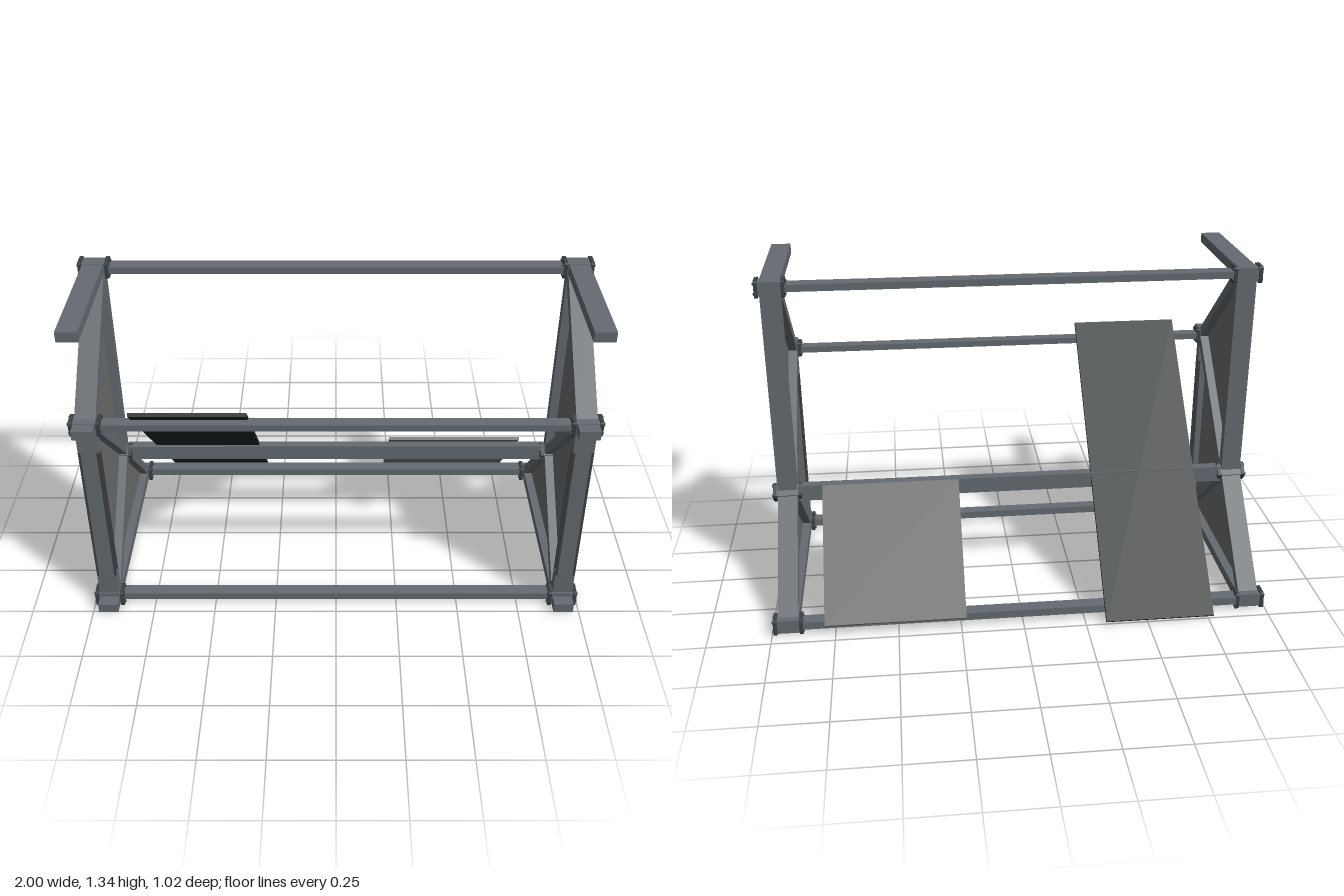
import * as THREE from 'three';

const mat = (color) => new THREE.MeshStandardMaterial({ color });
const steel = mat(0x646b70), dark = mat(0x3c4144), sheet = mat(0x6c6c6c), black = mat(0x1c2624);

// joints of the side frames as [z, y]
const J = {
  top: [-0.037, 1.31], knee: [0.433, 0.893], hub: [-0.037, 0.432],
  foot: [0.433, 0.038], heel: [-0.415, 0.038],
};
const SIDE_X = 0.935;

function add(parent, name, geometry, material, x = 0, y = 0, z = 0) {
  const m = new THREE.Mesh(geometry, material);
  m.name = name;
  m.position.set(x, y, z);
  parent.add(m);
  return m;
}

// box running between two [z, y] points
function beam(parent, name, a, b, x, width, thick, material) {
  const dz = b[0] - a[0], dy = b[1] - a[1];
  const m = add(parent, name, new THREE.BoxGeometry(width, thick, Math.hypot(dz, dy)), material,
    x, (a[1] + b[1]) / 2, (a[0] + b[0]) / 2);
  m.rotation.x = -Math.atan2(dy, dz);
  return m;
}

// thin triangular sheet, drawn in the z-y plane
function sidePanel(parent, name, points) {
  const s = new THREE.Shape(points.map(([z, y]) => new THREE.Vector2(-z, y)));
  const g = new THREE.ExtrudeGeometry(s, { depth: 0.01, bevelEnabled: false });
  g.translate(0, 0, -0.005);
  add(parent, name, g, sheet, SIDE_X).rotation.y = Math.PI / 2;
}

// joint: two rounded bolted plates around a block
function connector(parent, name, [z, y], angle, size = 0.07) {
  const c = new THREE.Group();
  c.name = name;
  c.position.set(SIDE_X, y, z);
  c.rotation.x = angle;
  const h = size / 2, r = 0.012;
  const s = new THREE.Shape();
  s.moveTo(-h + r, -h);
  s.lineTo(h - r, -h); s.quadraticCurveTo(h, -h, h, -h + r);
  s.lineTo(h, h - r); s.quadraticCurveTo(h, h, h - r, h);
  s.lineTo(-h + r, h); s.quadraticCurveTo(-h, h, -h, h - r);
  s.lineTo(-h, -h + r); s.quadraticCurveTo(-h, -h, -h + r, -h);
  const plate = new THREE.ExtrudeGeometry(s, { depth: 0.014, bevelEnabled: false, curveSegments: 4 });
  plate.translate(0, 0, -0.007).rotateY(Math.PI / 2);
  const bolt = new THREE.CylinderGeometry(0.006, 0.006, 0.005, 8).rotateZ(Math.PI / 2);
  for (const d of [-1, 1]) {
    add(c, 'jointPlate', plate, dark, d * 0.051);
    for (const u of [-1, 1]) for (const v of [-1, 1])
      add(c, 'bolt', bolt, dark, d * 0.06, u * 0.021, v * 0.021);
  }
  add(c, 'jointBlock', new THREE.BoxGeometry(0.1, size * 0.8, size * 0.8), steel);
  parent.add(c);
}

function sideFrame() {
  const g = new THREE.Group();
  g.name = 'sideFrame';
  const W = 0.08, T = 0.037;
  const bar = (name, a, b, t = T) => beam(g, name, a, b, SIDE_X, W, t, steel);
  bar('rearPost', J.hub, J.top, 0.038);
  bar('upperBrace', J.top, J.knee);
  bar('middleBrace', J.knee, J.hub);
  bar('lowerBrace', J.hub, J.foot);
  bar('rearBrace', J.hub, J.heel);
  bar('topArm', [-0.037, 1.317], [0.51, 1.317], 0.04);
  bar('bottomRail', [-0.43, 0.03], [0.51, 0.03], 0.04);
  bar('kneeStub', [0.42, 0.897], [0.51, 0.897], 0.038);
  // front post: full ends with a slimmer recessed middle
  bar('frontPostLowerEnd', J.foot, [0.435, 0.17], 0.04);
  bar('frontPostUpperEnd', [0.435, 0.77], J.knee, 0.04);
  beam(g, 'frontPostCore', [0.435, 0.16], [0.435, 0.78], SIDE_X, 0.062, 0.04, steel);
  for (const d of [-1, 1])
    for (const z of [0.419, 0.451])
      beam(g, 'frontPostLip', [z, 0.16], [z, 0.78], SIDE_X + d * 0.035, 0.01, 0.008, dark);

  sidePanel(g, 'upperPanel', [J.top, J.knee, J.hub]);
  sidePanel(g, 'middlePanel', [J.knee, J.foot, J.hub]);
  sidePanel(g, 'lowerPanel', [J.hub, J.foot, J.heel]);

  connector(g, 'topJoint', J.top, 0);
  connector(g, 'kneeJoint', J.knee, 0.08, 0.066);
  connector(g, 'hubJoint', J.hub, Math.PI / 4, 0.064);
  connector(g, 'footJoint', J.foot, 0);
  connector(g, 'heelJoint', J.heel, 0);
  return g;
}

export function createModel() {
  const model = new THREE.Group();
  model.name = 'rackFrame';

  // matching side frames
  for (const s of [1, -1]) {
    const f = sideFrame();
    f.name = s > 0 ? 'leftSideFrame' : 'rightSideFrame';
    if (s < 0) f.scale.x = -1;
    model.add(f);
  }

  // cross bars: name, y, z, height, depth
  const bars = [
    ['topCrossBar', 1.311, -0.037, 0.028, 0.06],
    ['kneeCrossBar', 0.893, 0.43, 0.026, 0.05],
    ['hubCrossBar', 0.432, -0.04, 0.066, 0.04],
    ['footCrossBar', 0.043, 0.427, 0.032, 0.05],
    ['heelCrossBar', 0.043, -0.422, 0.032, 0.055],
  ];
  for (const [name, y, z, h, d] of bars)
    add(model, name, new THREE.BoxGeometry(1.78, h, d), steel, 0, y, z);

  // sloping boards resting on the cross bars
  beam(model, 'longBoard', [-0.504, 0.016], [0.457, 0.955], -0.55, 0.44, 0.014, black);
  beam(model, 'shortBoard', [-0.472, 0.052], [-0.074, 0.47], 0.51, 0.56, 0.012, sheet);
  return model;
}
